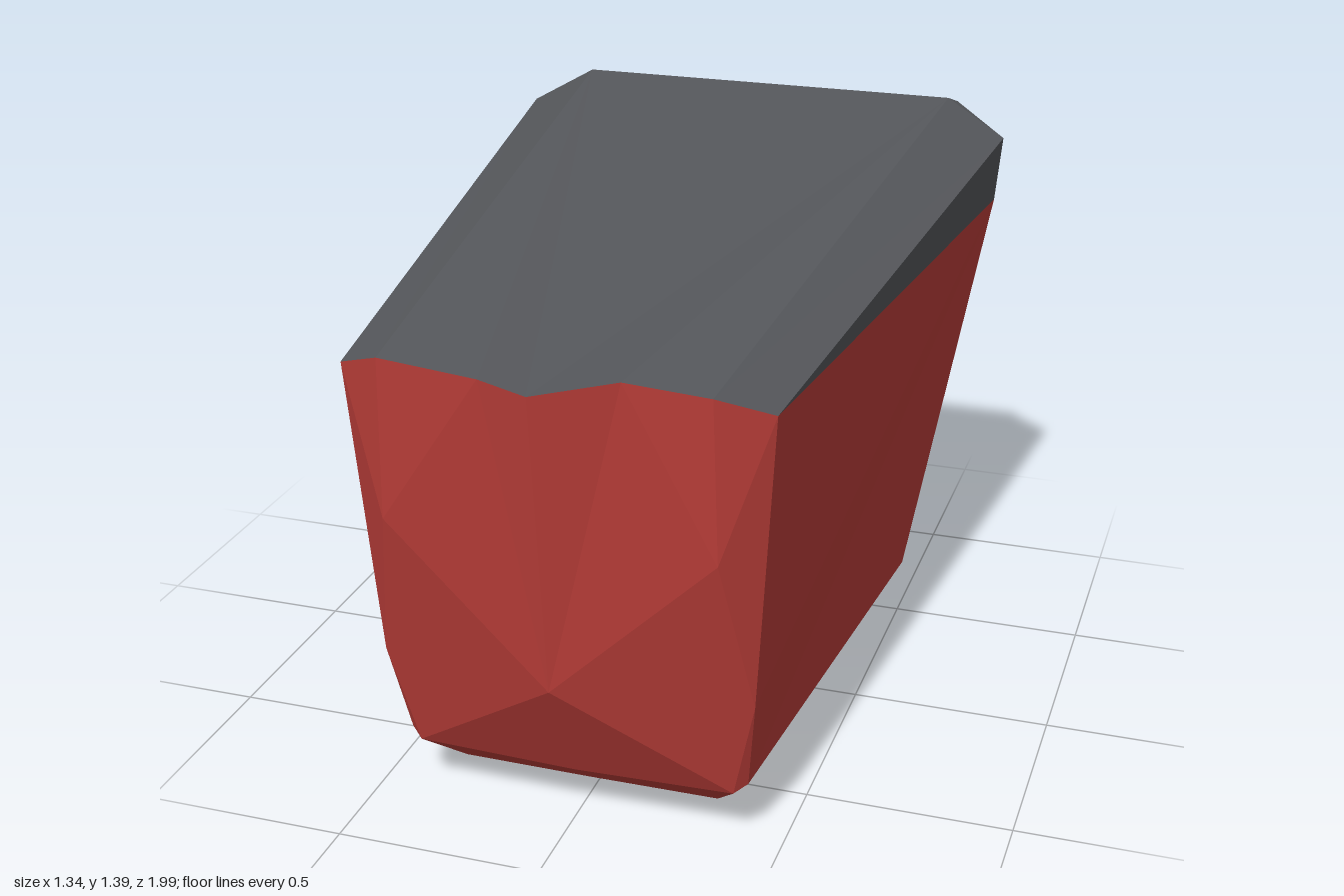
import * as THREE from 'three';

// Corner points of one half; s is +1 for the left half, -1 for the right half
function corners(s) {
  return {
    // front centre line, top to bottom
    c0: [0, 1.17, 0.995], c1: [0, 0.42, 0.91], c2: [0, 0.13, 0.76],
    c3: [0, 0.05, 0.66], c4: [0, 0, 0.56],
    // front top edge, slightly uneven between the halves
    t1: s > 0 ? [0.19, 1.205, 0.94] : [0.12, 1.185, 0.97],
    t2: [0.38, 1.18, 0.91],
    // front cheek: notch, edge and lower corners
    n: [0.39, 0.79, 0.9], m: [0.45, 0.4, 0.8], d: [0.39, 0.14, 0.76], D: [0.42, 0.16, 0.74],
    // side panel corners
    A: [0.5, 1.13, 0.84], B: [0.64, 1.1, -0.89], C: [0.52, 0.18, -0.44],
    // underside edge
    e: [0.32, 0.045, 0.65], f: [0.24, 0, 0.56], g: [0.34, 0.02, -0.31], g0: [0, 0.02, -0.31],
    // back strip edge, bottom to top, with its centre line
    h: [0.43, 0.1, -0.51], h0: [0, 0.1, -0.51],
    i: [0.44, 0.31, -0.78], i0: [0, 0.31, -0.78],
    j: [0.43, 0.71, -0.995], j0: [0, 0.71, -0.995],
    k: [0.5, 1.17, -0.975], k0: [0, 1.17, -0.985],
    // lid rear rim
    r: [0.51, 1.39, -0.83], r0: [0, 1.39, -0.83],
    q: [0.53, 1.375, -0.86], q0: [0, 1.375, -0.865],
    R: [0.67, 1.3, -0.8],
  };
}

// Each part lists its polygons, which are mirrored onto both halves
const parts = [
  ['frontPanel', 0xb83d38, 'c0 t1 c1, t1 t2 n, t1 n c1, c1 n d, c1 d c2'],
  ['frontCheeks', 0xb83d38, 't2 A n, A m n, n m d, m D d'],
  ['chin', 0xb83d38, 'c2 d e c3, d D e'],
  ['sidePanels', 0xb83d38, 'B A m, B m D, B D C'],
  ['lowerChamfers', 0xb83d38, 'D C g e, C h g'],
  ['backChamfers', 0xb83d38, 'B C i, C h i, B i j, B j k'],
  ['underside', 0x282828, 'c3 e f c4, e g f, c4 f g g0, g0 g h h0'],
  ['backPanel', 0x282828, 'h0 h i i0, i0 i j j0, j0 j k k0'],
  ['lid', 0x55575b, 'c0 t1 r r0, t1 t2 r, t2 A R r, A B R'],
  ['lidRim', 0x55575b, 'r0 r q q0, q0 q k k0, r R q, R B k q'],
];

const centre = new THREE.Vector3(0, 0.65, 0);

// Fans the polygons into flat triangles that all face away from the centre
function facetGeometry(list) {
  const out = [];
  for (const s of [1, -1]) {
    const pts = corners(s);
    for (const poly of list.split(', ')) {
      const v = poly.split(' ').map((key) => {
        const [x, y, z] = pts[key];
        return new THREE.Vector3(x * s, y, z);
      });
      for (let i = 1; i < v.length - 1; i++) {
        const tri = new THREE.Triangle(v[0], v[i], v[i + 1]);
        const normal = tri.getNormal(new THREE.Vector3());
        const mid = tri.getMidpoint(new THREE.Vector3()).sub(centre);
        const order = normal.dot(mid) > 0 ? [tri.a, tri.b, tri.c] : [tri.a, tri.c, tri.b];
        for (const p of order) out.push(p.x, p.y, p.z);
      }
    }
  }
  const geometry = new THREE.BufferGeometry();
  geometry.setAttribute('position', new THREE.Float32BufferAttribute(out, 3));
  geometry.computeVertexNormals();
  return geometry;
}

export function createModel() {
  const group = new THREE.Group();
  group.name = 'facetedShell';
  for (const [name, color, list] of parts) {
    const material = new THREE.MeshStandardMaterial({ color, flatShading: true });
    const mesh = new THREE.Mesh(facetGeometry(list), material);
    mesh.name = name;
    group.add(mesh);
  }
  return group;
}
